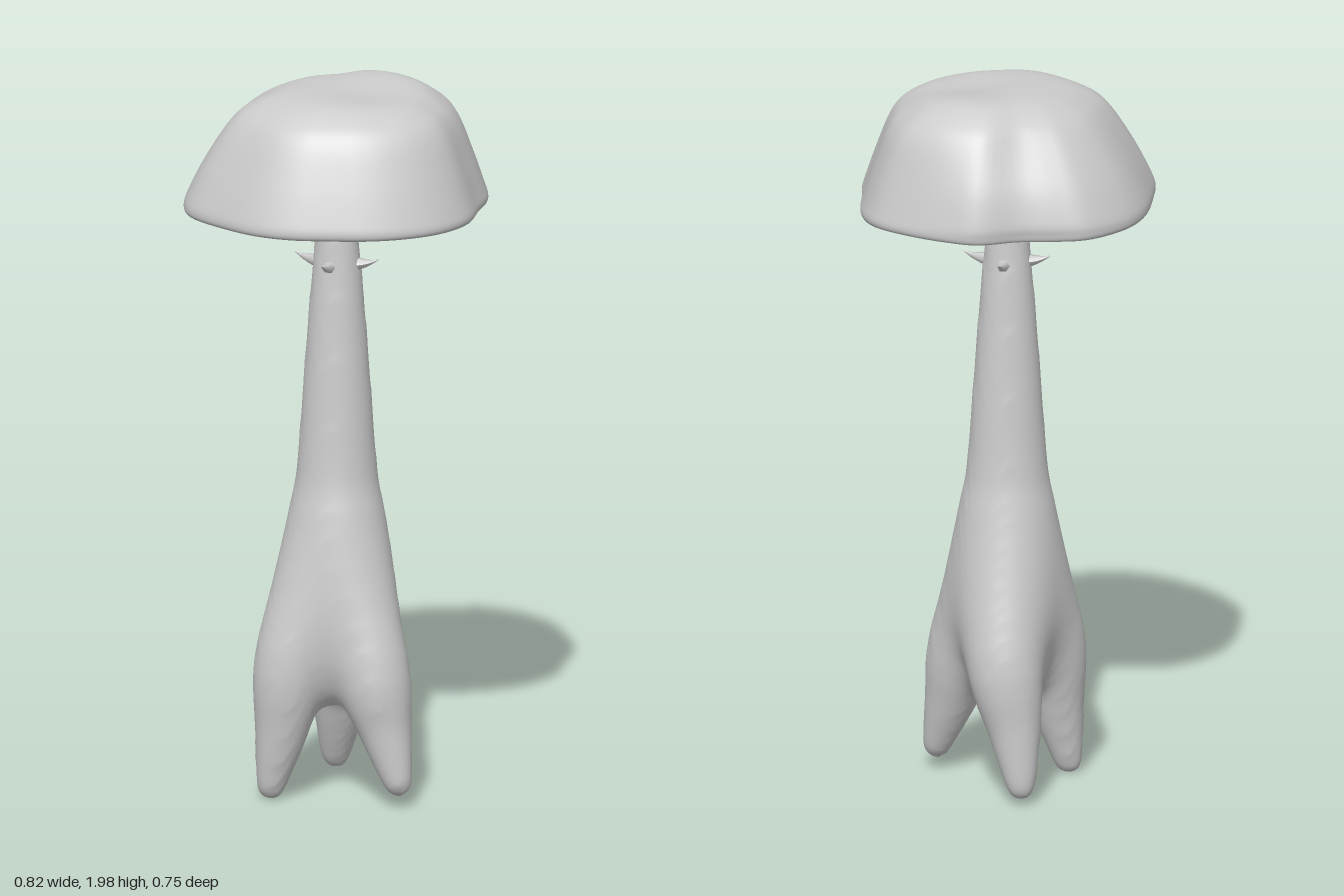
import * as THREE from 'three';

const material = new THREE.MeshStandardMaterial({ color: 0xcccccc, roughness: 0.8, side: THREE.DoubleSide });
const { lerp, clamp } = THREE.MathUtils;

// Smooth chain of [x, y, z, radius] samples through a few nodes
function smoothNodes(nodes, samples) {
  const spline = points => new THREE.CatmullRomCurve3(points, false, 'catmullrom').getPoints(samples);
  const centres = spline(nodes.map(([x, y, z]) => new THREE.Vector3(x, y, z)));
  const radii = spline(nodes.map(n => new THREE.Vector3(n[3], 0, 0)));
  return centres.map((c, i) => [c.x, c.y, c.z, radii[i].x]);
}

// Distance to a chain of round cones
function chain(x, y, z, nodes) {
  let best = Infinity;
  for (let i = 1; i < nodes.length; i++) {
    const [ax, ay, az, ar] = nodes[i - 1], [bx, by, bz, br] = nodes[i];
    const dx = bx - ax, dy = by - ay, dz = bz - az;
    const t = clamp(((x - ax) * dx + (y - ay) * dy + (z - az) * dz) / (dx * dx + dy * dy + dz * dz), 0, 1);
    const px = x - ax - t * dx, py = y - ay - t * dy, pz = z - az - t * dz;
    best = Math.min(best, Math.sqrt(px * px + py * py + pz * pz) - lerp(ar, br, t));
  }
  return best;
}

function smoothMin(a, b, k) {
  const h = Math.max(k - Math.abs(a - b), 0) / k;
  return Math.min(a, b) - h * h * k / 4;
}

// Stem core, and three legs from shoulder over knee and shin to foot
const core = smoothNodes(
  [[1.9, 0.05], [1.65, 0.056], [1.4, 0.076], [1.15, 0.094], [0.95, 0.108], [0.8, 0.124], [0.65, 0.145], [0.5, 0.15], [0.37, 0.112]]
    .map(([y, r]) => [0, y, 0, r]), 24);
const legs = [
  { knee: [-0.112, 0.42, 0.068, 0.105], shin: [-0.143, 0.21, 0.08, 0.076], foot: [-0.174, 0.046, 0.082, 0.044] },
  { knee: [0.098, 0.4, 0.097, 0.105], shin: [0.138, 0.23, 0.122, 0.076], foot: [0.177, 0.08, 0.15, 0.044] },
  { knee: [0.02, 0.42, -0.12, 0.107], shin: [-0.003, 0.22, -0.158, 0.076], foot: [-0.018, 0.063, -0.193, 0.044] },
].map(({ knee, shin, foot }) =>
  smoothNodes([[knee[0] * 0.2, 0.78, knee[2] * 0.2, 0.086], knee, shin, foot], 12));

function stemField(x, y, z) {
  let d = chain(x, y, z, core);
  for (const leg of legs) d = smoothMin(d, chain(x, y, z, leg), 0.06);
  return d;
}

// Wraps a smooth skin of quads around the zero level of a distance field
function skin(field, min, size, h) {
  const n = size.map(s => Math.ceil(s / h) + 1);
  const step = [1, n[0], n[0] * n[1]];
  const total = n[0] * n[1] * n[2];
  const at = id => [id % n[0], Math.floor(id / n[0]) % n[1], Math.floor(id / step[2])];
  const value = new Float32Array(total);
  for (let id = 0; id < total; id++) {
    const p = at(id).map((c, a) => min[a] + c * h);
    value[id] = field(p[0], p[1], p[2]);
  }
  const cell = new Int32Array(total).fill(-1), position = [], index = [];
  for (let id = 0; id < total; id++) {
    const p = at(id);
    if (p.some((c, a) => c >= n[a] - 1)) continue;
    const sum = [0, 0, 0];
    let count = 0;
    for (let c = 0; c < 8; c++) for (let a = 0; a < 3; a++) {
      if (c >> a & 1) continue;
      const bits = [c & 1, c >> 1 & 1, c >> 2 & 1];
      const from = id + bits[0] * step[0] + bits[1] * step[1] + bits[2] * step[2];
      const v0 = value[from], v1 = value[from + step[a]];
      if ((v0 < 0) === (v1 < 0)) continue;
      bits[a] = v0 / (v0 - v1);
      for (let k = 0; k < 3; k++) sum[k] += bits[k];
      count++;
    }
    if (!count) continue;
    cell[id] = position.length / 3;
    for (let k = 0; k < 3; k++) position.push(min[k] + (p[k] + sum[k] / count) * h);
  }
  for (let id = 0; id < total; id++) {
    const p = at(id);
    if (p.some((c, a) => c < 1 || c >= n[a] - 1)) continue;
    for (let a = 0; a < 3; a++) {
      const inside = value[id] < 0;
      if (inside === value[id + step[a]] < 0) continue;
      const u = step[(a + 1) % 3], v = step[(a + 2) % 3];
      const q = [id - u - v, id - v, id, id - u].map(c => cell[c]);
      if (!inside) q.reverse();
      index.push(q[0], q[1], q[2], q[0], q[2], q[3]);
    }
  }
  for (let pass = 0; pass < 5; pass++) relax(position, index);
  return finish(position, index);
}

// Moves every vertex to the mean of its neighbours
function relax(position, index) {
  const sum = new Float32Array(position.length), count = new Float32Array(position.length / 3);
  for (let i = 0; i < index.length; i++) {
    const a = index[i], b = index[i % 3 === 2 ? i - 2 : i + 1];
    count[a]++;
    for (let k = 0; k < 3; k++) sum[a * 3 + k] += position[b * 3 + k];
  }
  for (let i = 0; i < position.length; i++) position[i] = sum[i] / count[Math.floor(i / 3)];
}

function finish(position, index) {
  const geometry = new THREE.BufferGeometry();
  geometry.setAttribute('position', new THREE.Float32BufferAttribute(position, 3));
  geometry.setIndex(index);
  geometry.computeVertexNormals();
  return geometry;
}

// Hollow cap: an uneven rim outline scaled along a profile whose fullness varies around
function capGeometry() {
  const outline = [
    [0.405, -0.08], [0.39, 0.05], [0.37, 0.18], [0.3, 0.28], [0.2, 0.34], [0.1, 0.367], [0, 0.371], [-0.1, 0.368],
    [-0.2, 0.335], [-0.3, 0.26], [-0.39, 0.16], [-0.41, 0.08], [-0.4, 0], [-0.36, -0.17], [-0.3, -0.27],
    [-0.19, -0.35], [-0.1, -0.358], [0, -0.352], [0.12, -0.372], [0.2, -0.34], [0.3, -0.27], [0.38, -0.18],
  ];
  const rim = new THREE.CatmullRomCurve3(outline.map(([x, z]) => new THREE.Vector3(x, 0, z)), true);
  const rings = 65, around = 96, position = [], index = [];
  const profile = (w, back) => new THREE.SplineCurve([
    [0, 1.995], [lerp(0.25, 0.46, w), 1.986], [lerp(0.49, 0.68, w), 1.95], [lerp(0.64, 0.8, w), 1.9],
    [lerp(0.84, 0.9, w) + 0.04 * back, 1.8], [0.975 + 0.025 * back, 1.71], [1, 1.675], [0.985, 1.658],
    [0.945, 1.658], [0.905, 1.69], [lerp(0.77, 0.83, w), 1.79], [lerp(0.57, 0.72, w), 1.88],
    [lerp(0.36, 0.5, w), 1.93], [0, 1.95],
  ].map(([s, y]) => new THREE.Vector2(s, y))).getPoints(rings);
  const dent = (x, z, cx, cz, r) => Math.exp(-((x - cx) ** 2 + (z - cz) ** 2) / (r * r));
  const columns = Array.from({ length: around }, (_, j) => {
    const edge = rim.getPoint(j / around);
    const angle = Math.atan2(edge.z, edge.x);
    const w = 0.6 + 0.34 * Math.cos(angle) + 0.08 * Math.sin(angle) + 0.25 * Math.cos(angle + 0.9) ** 2;
    const back = Math.max(0, -Math.sin(angle)) ** 6;
    return { edge, points: profile(w, back) };
  });
  for (let i = 0; i <= rings; i++) for (let j = 0; j < around; j++) {
    const { edge, points } = columns[j];
    const s = Math.max(points[i].x, 0.001), x = edge.x * s, z = edge.z * s;
    const y = points[i].y - 0.014 * dent(x, z, 0.1, 0.04, 0.12) - 0.015 * dent(x, z, 0.33, -0.08, 0.07)
      + 0.01 * dent(x, z, 0.13, -0.16, 0.12);
    position.push(x, y, z);
    if (i === rings) continue;
    const a = i * around + j, b = i * around + (j + 1) % around;
    index.push(a, b, a + around, b, b + around, a + around);
  }
  return finish(position, index);
}

// Small thorn pointing along +x, its tip curling up
function thornGeometry() {
  const geometry = new THREE.ConeGeometry(0.02, 0.068, 6, 5);
  geometry.rotateZ(-Math.PI / 2).translate(0.034, 0, 0);
  const p = geometry.attributes.position;
  for (let i = 0; i < p.count; i++) p.setY(i, p.getY(i) + 4 * p.getX(i) ** 2);
  geometry.computeVertexNormals();
  return geometry;
}

export function createModel() {
  const model = new THREE.Group();
  const add = (name, geometry) => {
    const mesh = new THREE.Mesh(geometry, material);
    mesh.name = name;
    model.add(mesh);
    return mesh;
  };
  add('stemWithLegs', skin(stemField, [-0.27, -0.04, -0.29], [0.54, 2.04, 0.54], 0.013));
  add('cap', capGeometry());

  // Ring of four thorns below the cap
  const thorn = thornGeometry();
  for (let i = 0; i < 4; i++) {
    const angle = 0.28 + i * Math.PI / 2;
    const mesh = add('thorn', thorn);
    mesh.position.set(0.055 * Math.cos(angle), 1.498, 0.055 * Math.sin(angle));
    mesh.rotation.y = -angle;
  }
  return model;
}
